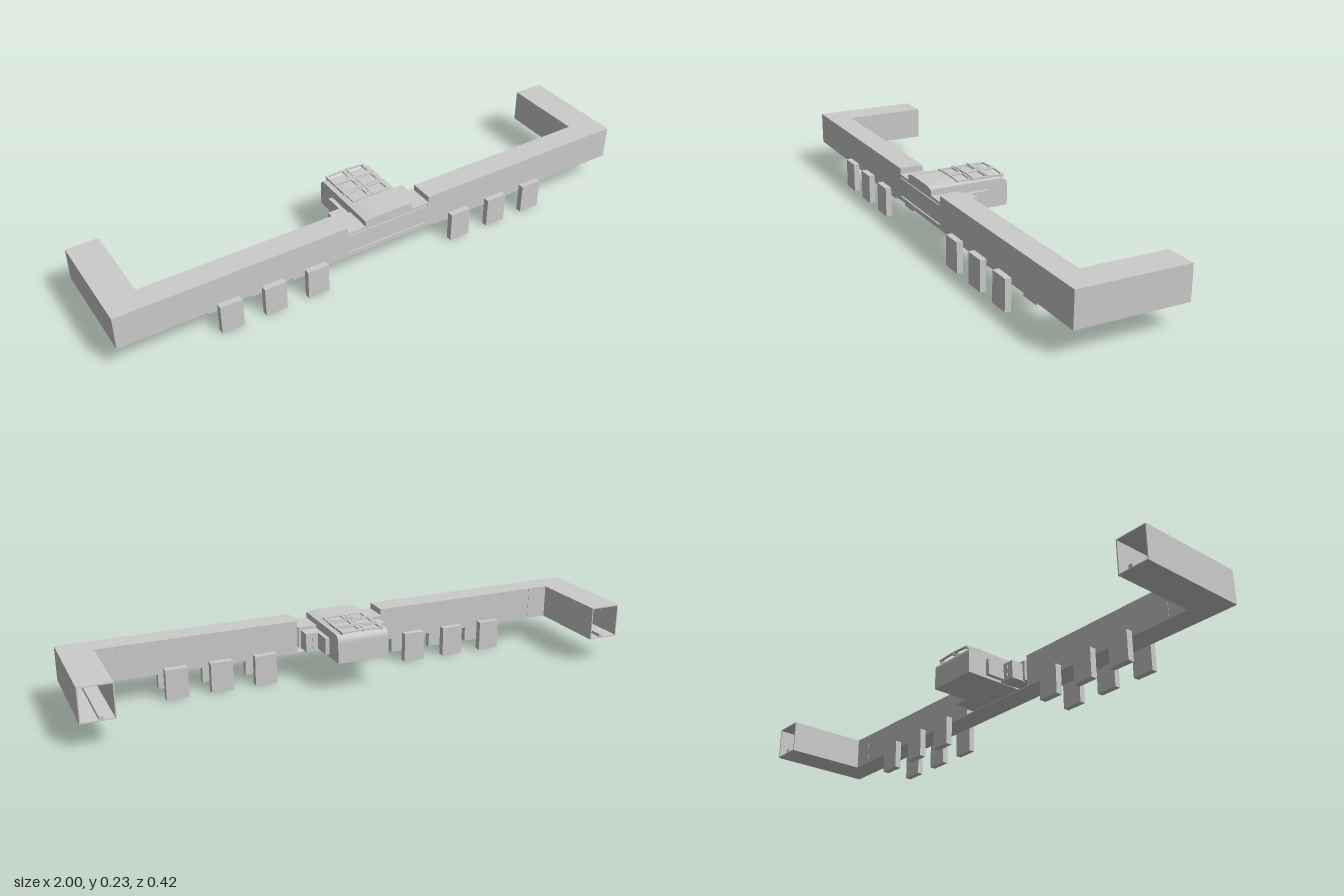
import * as THREE from 'three';

const grey = new THREE.MeshStandardMaterial({ color: 0xcccccc, flatShading: true, side: THREE.DoubleSide });

export function createModel() {
  const model = new THREE.Group();

  const add = (name, geometry) => {
    const mesh = new THREE.Mesh(geometry, grey);
    mesh.name = name;
    model.add(mesh);
    return mesh;
  };
  // box given by its limits on each axis
  const block = (name, x0, x1, y0, y1, z0, z1) => {
    const mesh = add(name, new THREE.BoxGeometry(x1 - x0, y1 - y0, z1 - z0));
    mesh.position.set((x0 + x1) / 2, (y0 + y1) / 2, (z0 + z1) / 2);
    return mesh;
  };
  // the same box on both sides of x = 0
  const pair = (name, x0, x1, ...rest) => {
    block(name + 'Left', x0, x1, ...rest);
    block(name + 'Right', -x1, -x0, ...rest);
  };
  const outline = (points) => new THREE.Shape(points.map(([x, y]) => new THREE.Vector2(x, y)));
  const extrude = (shape, depth) =>
    new THREE.ExtrudeGeometry(shape, { depth, bevelEnabled: false, curveSegments: 8 });
  // flat plate from x, z corners
  const plate = (name, corners, y, thickness) => {
    const geometry = extrude(outline(corners.map(([x, z]) => [x, -z])), thickness);
    geometry.rotateX(-Math.PI / 2);
    add(name, geometry).position.y = y;
  };

  const T = 0.004, BOTTOM = 0.09, TOP = 0.212, BACK = -0.21, FRONT = 0.188;
  const INNER = 0.885, BAR_BACK = 0.1, NOTCH = 0.165, NOTCH_Y = 0.187;

  // hollow U-shaped channel: floor, two roof halves, side walls
  plate('channelFloor', [[-1, FRONT], [1, FRONT], [1, BACK], [INNER, BACK], [INNER, BAR_BACK],
    [-INNER, BAR_BACK], [-INNER, BACK], [-1, BACK]], BOTTOM, T);
  for (const [side, s] of [['Left', 1], ['Right', -1]]) {
    plate('channelRoof' + side, [[s * NOTCH, FRONT], [s, FRONT], [s, BACK], [s * INNER, BACK],
      [s * INNER, BAR_BACK], [s * NOTCH, BAR_BACK]], TOP - T, T);
  }
  pair('outerWall', 1 - T, 1, BOTTOM, TOP, BACK, FRONT);
  pair('innerWall', INNER, INNER + T, BOTTOM, TOP, BACK, BAR_BACK + T);
  pair('rearWall', NOTCH, INNER + T, BOTTOM, TOP, BAR_BACK, BAR_BACK + T);
  pair('notchCap', NOTCH, NOTCH + T, BOTTOM, TOP, BAR_BACK, FRONT);
  pair('rearSeam', 0.808, 0.811, BOTTOM, TOP, BAR_BACK - 0.001, BAR_BACK);
  pair('innerRail', 0.925, 0.94, BOTTOM + T, BOTTOM + 0.016, BACK, FRONT - T);

  // front wall with lowered middle and two long slots
  const front = outline([[-1, BOTTOM], [1, BOTTOM], [1, TOP], [NOTCH, TOP], [NOTCH, NOTCH_Y],
    [-NOTCH, NOTCH_Y], [-NOTCH, TOP], [-1, TOP]]);
  for (const y of [0.106, 0.176]) {
    front.holes.push(new THREE.Path([[-0.16, y], [-0.16, y + 0.005], [0.16, y + 0.005], [0.16, y]]
      .map(([a, b]) => new THREE.Vector2(a, b))));
  }
  add('frontWall', extrude(front, T)).position.z = FRONT - T;

  // clip tabs hanging along the front and rear
  for (const x of [0.295, 0.457, 0.618]) {
    pair('frontTab', x - 0.04, x + 0.04, 0, 0.11, FRONT, 0.21);
    pair('rearTab', x - 0.04, x + 0.04, 0, 0.11, 0.075, BAR_BACK);
  }

  // stepped shoulders of the central housing
  block('shoulder', -NOTCH, NOTCH, 0.115, NOTCH_Y + 0.003, 0.09, FRONT - 0.008);
  block('shoulderTop', -NOTCH, NOTCH, NOTCH_Y, NOTCH_Y + 0.003, 0.09, FRONT);
  pair('sideEar', 0.09, 0.155, 0.112, 0.18, 0.04, 0.1);
  pair('sideLug', 0.09, 0.11, 0.12, 0.18, -0.03, 0.04);
  for (const y of [0.13, 0.16]) pair('earBolt', 0.12, 0.132, y - 0.006, y + 0.006, 0.035, 0.04);

  // housing with rounded rear edge, profile drawn in z and y
  const housing = new THREE.Shape();
  housing.moveTo(0.18, 0.11);
  housing.lineTo(0.18, 0.211);
  housing.lineTo(-0.08, 0.211);
  housing.quadraticCurveTo(-0.107, 0.211, -0.107, 0.184);
  housing.lineTo(-0.107, 0.11);
  housing.closePath();
  const body = extrude(housing, 0.19);
  body.rotateY(-Math.PI / 2);
  body.translate(0.095, 0, 0);
  add('housing', body);

  // shallow arched cover on the housing
  const arch = new THREE.Shape();
  arch.moveTo(-0.095, 0.19);
  arch.lineTo(0.095, 0.19);
  arch.lineTo(0.095, 0.208);
  arch.quadraticCurveTo(0.08, 0.215, 0.05, 0.217);
  arch.lineTo(-0.05, 0.217);
  arch.quadraticCurveTo(-0.08, 0.215, -0.095, 0.208);
  arch.closePath();
  add('archedCover', extrude(arch, FRONT + 0.085)).position.z = -0.085;

  // six framed pads in two columns on the cover
  const frame = outline([[-0.036, -0.028], [0.036, -0.028], [0.036, 0.028], [-0.036, 0.028]]);
  frame.holes.push(new THREE.Path([[-0.028, -0.02], [-0.028, 0.02], [0.028, 0.02], [0.028, -0.02]]
    .map(([a, b]) => new THREE.Vector2(a, b))));
  const frameGeometry = extrude(frame, 0.005);
  frameGeometry.rotateX(-Math.PI / 2);
  for (const x of [-0.04, 0.04]) {
    for (const z of [-0.076, -0.013, 0.05]) {
      const pad = add('padFrame', frameGeometry);
      pad.position.set(x, 0.2165, z);
      pad.rotation.z = -Math.sign(x) * 0.04;
    }
  }
  // ridges and cross bars between the pads
  block('centreRidge', -0.003, 0.003, 0.215, 0.222, -0.105, 0.08);
  pair('sideRidge', 0.072, 0.078, 0.21, 0.221, -0.1, 0.02);
  block('frontCrossBar', -0.08, 0.08, 0.215, 0.223, 0.021, 0.025);
  block('crossBarPeak', -0.02, 0.02, 0.22, 0.228, 0.021, 0.025);
  block('rearCrossBar', -0.08, 0.08, 0.215, 0.224, -0.045, -0.036);

  return model;
}
